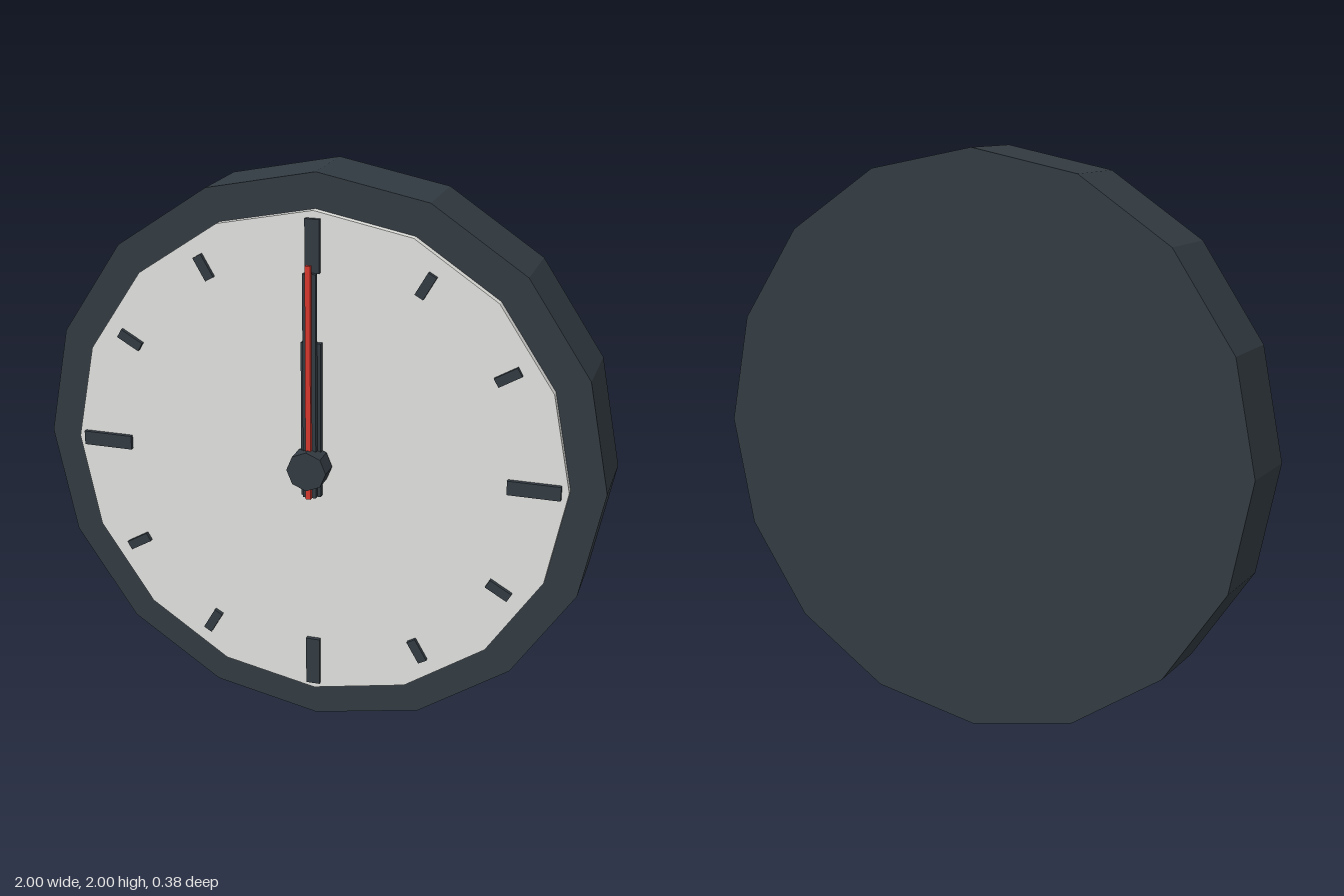
import * as THREE from 'three';

export function createModel() {
  const model = new THREE.Group();
  model.name = 'wallClock';

  const dark = new THREE.MeshStandardMaterial({ color: 0x323b42 });
  const pale = new THREE.MeshStandardMaterial({ color: 0xe0e0dd });
  const red = new THREE.MeshStandardMaterial({ color: 0xd8382e });
  dark.name = 'charcoal';
  pale.name = 'dialWhite';
  red.name = 'red';
  for (const m of [dark, pale, red]) m.flatShading = true;

  function add(name, geometry, material, x, y, z) {
    const mesh = new THREE.Mesh(geometry, material);
    mesh.name = name;
    mesh.position.set(x, y, z);
    model.add(mesh);
    return mesh;
  }

  // Faceted disc facing +z, between two depths
  function disc(name, radius, sides, back, front, material) {
    const geometry = new THREE.CylinderGeometry(radius, radius, front - back, sides);
    geometry.rotateX(Math.PI / 2);
    return add(name, geometry, material, 0, 1, (back + front) / 2);
  }

  // Upright hand, between two heights and two depths
  function hand(name, width, bottom, top, back, front, material) {
    const geometry = new THREE.BoxGeometry(width, top - bottom, front - back);
    return add(name, geometry, material, 0, (bottom + top) / 2, (back + front) / 2);
  }

  // Case and dial
  disc('case', 1, 16, -0.19, 0.078, dark);
  disc('dial', 0.88, 16, 0.07, 0.105, pale);

  // Hour markers, longer at the quarters
  for (let i = 0; i < 12; i++) {
    const a = (i * Math.PI) / 6;
    const major = i % 3 === 0;
    const geometry = new THREE.BoxGeometry(major ? 0.05 : 0.033, major ? 0.18 : 0.088, 0.02);
    const marker = add(major ? 'quarterMarker' : 'hourMarker', geometry, dark,
      0.765 * Math.sin(a), 1 + 0.765 * Math.cos(a), 0.11);
    marker.rotation.z = -a;
  }

  // Hands, stacked towards the front, and the hub that holds them
  hand('hourHand', 0.07, 0.89, 1.44, 0.115, 0.134, dark);
  hand('minuteHand', 0.046, 0.89, 1.68, 0.134, 0.152, dark);
  hand('secondHand', 0.018, 0.89, 1.71, 0.152, 0.167, red);
  disc('hub', 0.07, 8, 0.115, 0.19, dark);

  return model;
}
